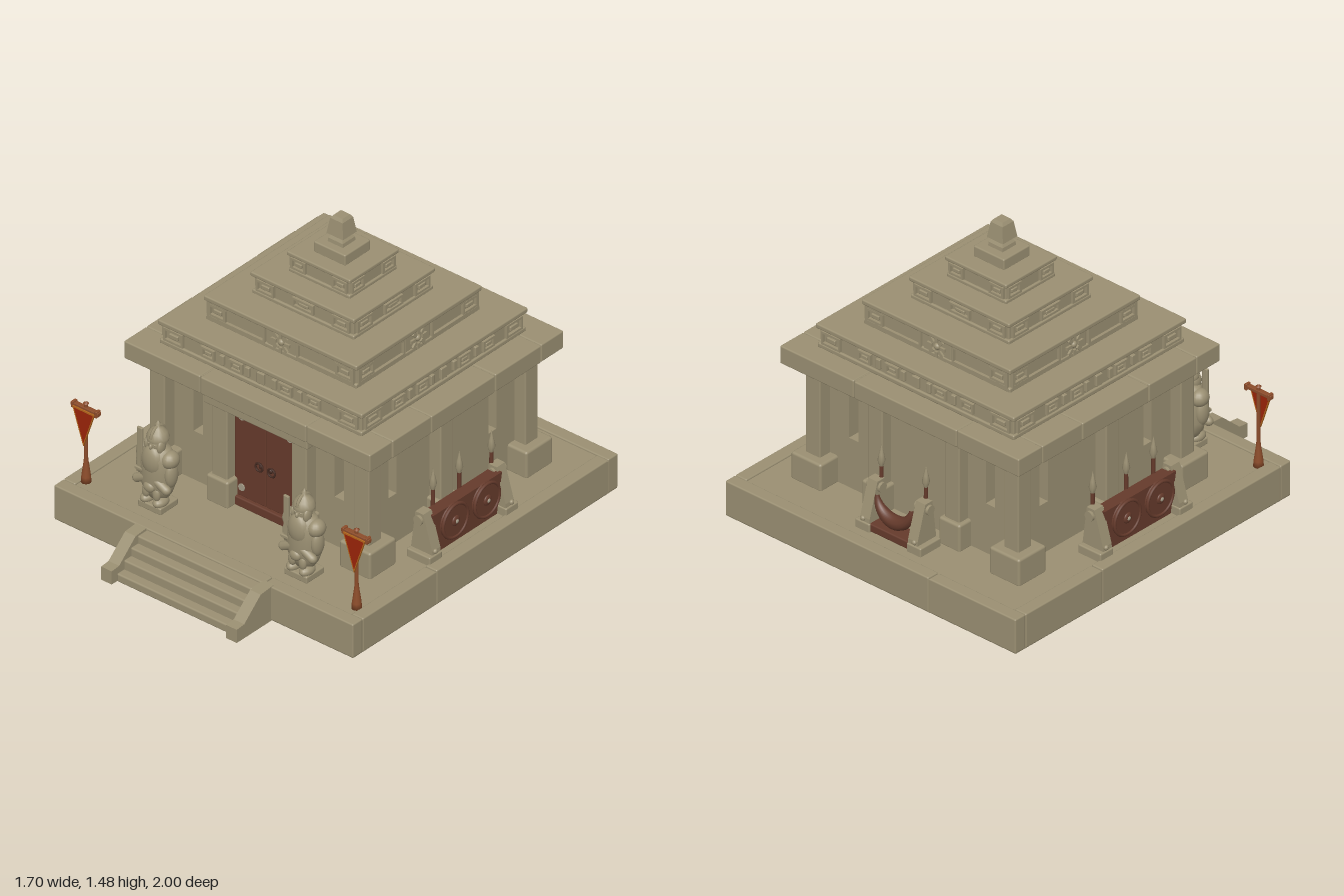
import * as THREE from 'three';
import { RoundedBoxGeometry } from 'three/addons/geometries/RoundedBoxGeometry.js';

const mat = (name, color) => {
  const m = new THREE.MeshStandardMaterial({ color });
  m.name = name;
  return m;
};
const stone = mat('stone', 0x9a8f72);
const wood = mat('dark wood', 0x653a2b);
const iron = mat('dark iron', 0x452a21);
const stud = mat('pale studs', 0xa29a86);
const pole = mat('pole wood', 0x8c4c2a);
const red = mat('banner red', 0x9a2408);
const gold = mat('banner trim', 0xb4661c);

const CZ = -0.167; // wall centre in z
const RZ = -0.16; // roof centre in z

function add(parent, name, geo, m, x = 0, y = 0, z = 0) {
  const mesh = new THREE.Mesh(geo, m);
  mesh.name = name;
  mesh.position.set(x, y, z);
  parent.add(mesh);
  return mesh;
}
function group(parent, name, x = 0, y = 0, z = 0, ry = 0) {
  const g = new THREE.Group();
  g.name = name;
  g.position.set(x, y, z);
  g.rotation.y = ry;
  parent.add(g);
  return g;
}
// Soft-edged block between two corners
function block(parent, name, m, x0, x1, y0, y1, z0, z1, r = 0.007) {
  const w = x1 - x0, h = y1 - y0, d = z1 - z0;
  const geo = new RoundedBoxGeometry(w, h, d, 2, Math.min(r, w / 3, h / 3, d / 3));
  return add(parent, name, geo, m, (x0 + x1) / 2, (y0 + y1) / 2, (z0 + z1) / 2);
}
const ball = (parent, name, m, x, y, z, sx, sy, sz) =>
  add(parent, name, new THREE.SphereGeometry(1, 16, 12), m, x, y, z).scale.set(sx, sy, sz);
const vecs = pts => pts.map(p => new THREE.Vector2(...p));
const lathe = (pts, sides) => new THREE.LatheGeometry(vecs(pts), sides);
const extrude = (pts, depth, holes = []) => {
  const s = new THREE.Shape(vecs(pts));
  for (const h of holes) s.holes.push(new THREE.Path(vecs(h)));
  return new THREE.ExtrudeGeometry(s, { depth, bevelEnabled: false });
};
const rect = (w, h, x = 0, y = 0) => [[x - w, y - h], [x + w, y - h], [x + w, y + h], [x - w, y + h]];

// Rectangular ring of stone blocks with thin joints
function ring(parent, name, hx, hz, cz, y0, y1, t, cuts) {
  const g = group(parent, name);
  const gap = 0.0015, iz = hz - t;
  for (let i = 0; i + 1 < cuts.length; i++) {
    const a = cuts[i], b = cuts[i + 1], top = y1 - (i % 2) * 0.002;
    block(g, 'frontBlock', stone, a * hx + gap, b * hx - gap, y0, top, cz + iz, cz + hz);
    block(g, 'backBlock', stone, -b * hx + gap, -a * hx - gap, y0, top, cz - hz, cz - iz);
    block(g, 'leftBlock', stone, hx - t, hx, y0, top, cz + a * iz + gap, cz + b * iz - gap);
    block(g, 'rightBlock', stone, -hx, t - hx, y0, top, cz - b * iz + gap, cz - a * iz - gap);
  }
}

// Carved frame with a raised bar inside
function glyph(parent, x, y, z, w, h, bar = true) {
  add(parent, 'carvedFrame', extrude(rect(w, h), 0.014, [rect(w - 0.011, h - 0.011)]), stone, x, y, z);
  if (bar) block(parent, 'carvedBar', stone, x - w * 0.45, x + w * 0.45, y - h * 0.35, y + h * 0.35, z - 0.004, z + 0.012, 0.004);
}

function roofTier(parent, hx, hz, y0, y1, carve) {
  const g = group(parent, 'roofTier');
  const h = y1 - y0, i = 0.016;
  block(g, 'tierBody', stone, -hx + i, hx - i, y0, y1 - 0.005, RZ - hz + i, RZ + hz - i);
  block(g, 'tierFoot', stone, -hx + 0.006, hx - 0.006, y0, y0 + h * 0.2, RZ - hz + 0.006, RZ + hz - 0.006);
  block(g, 'tierLip', stone, -hx, hx, y1 - h * 0.2, y1, RZ - hz, RZ + hz);
  for (let k = 0; k < 4; k++) {
    const side = group(g, 'tierCarving', 0, (y0 + y1) / 2, RZ, k * Math.PI / 2);
    carve(side, k % 2 ? hz : hx, (k % 2 ? hx : hz) - i);
  }
}

// Wall panel with two deep slit windows, facing local +z
function wall(parent, half, dist, ry, wx) {
  const g = group(parent, 'wall', 0, 0, CZ, ry), t = 0.08;
  const slits = [-wx, wx].map(x => rect(0.027, 0.108, x, 0.527));
  add(g, 'wallPanel', extrude(rect(half, 0.3, 0, 0.46), t, slits), stone, 0, 0, dist - t);
  for (const x of [-wx, wx])
    add(g, 'slitWindow', new THREE.BoxGeometry(0.064, 0.23, 0.006), wood, x, 0.527, dist - t - 0.003);
}

function column(parent, x, z, baseW) {
  const g = group(parent, 'column', x, 0, z);
  block(g, 'columnBase', stone, -baseW, baseW, 0.16, 0.3, -baseW, baseW, 0.012);
  block(g, 'columnShaft', stone, -0.043, 0.043, 0.28, 0.71, -0.043, 0.043);
  block(g, 'columnCapital', stone, -0.06, 0.06, 0.705, 0.755, -0.06, 0.06);
}

function spear(parent, x, z) {
  const g = group(parent, 'spear', x, 0, z);
  add(g, 'spearShaft', new THREE.CylinderGeometry(0.009, 0.012, 0.28, 8), wood, 0, 0.32, 0);
  add(g, 'spearTip', lathe([[0.009, 0], [0.018, 0.03], [0.012, 0.06], [0, 0.11]], 8), stone, 0, 0.455, 0);
}

// Weapon rack, outward side facing local +z
function rack(parent, x, z, ry, half, spears, shields) {
  const g = group(parent, 'weaponRack', x, 0, z, ry);
  const profile = [[-0.08, 0.17], [0.05, 0.17], [0.045, 0.23], [-0.005, 0.4], [-0.05, 0.4]];
  for (const s of [-1, 1]) {
    add(g, 'rackPost', extrude(profile, 0.055), stone, s * (half - 0.01) + 0.0275).rotation.y = -Math.PI / 2;
    block(g, 'rackFoot', stone, s * half - 0.042, s * half + 0.042, 0.16, 0.21, -0.08, 0.053);
    const pin = add(g, 'rackPin', new THREE.CylinderGeometry(0.024, 0.024, 0.08, 14), stone, s * (half - 0.01), 0.365, -0.028);
    pin.rotation.z = Math.PI / 2;
    ball(g, 'rackStud', stone, s * half, 0.225, 0.048, 0.012, 0.012, 0.01);
  }
  const w = half - 0.025;
  if (shields) {
    add(g, 'rackBoard', extrude([[-w + 0.035, 0.18], [w - 0.035, 0.18], [w, 0.38], [-w, 0.38]], 0.06), wood, 0, 0, -0.045);
    for (const sx of [-0.1, 0.112]) {
      const sh = group(g, 'roundShield', sx, 0.3, 0.022);
      add(sh, 'shieldDisc', new THREE.CylinderGeometry(0.082, 0.085, 0.02, 28), wood).rotation.x = Math.PI / 2;
      add(sh, 'shieldRim', new THREE.TorusGeometry(0.082, 0.008, 8, 32), wood, 0, 0, 0.008);
      ball(sh, 'shieldBoss', wood, 0, 0, 0.01, 0.026, 0.026, 0.01);
      ball(sh, 'shieldStud', stud, 0, 0, 0.016, 0.011, 0.011, 0.008);
    }
  } else {
    block(g, 'rackTray', wood, -w, w, 0.17, 0.21, -0.045, 0.045);
    // Curved horn, thinning towards both ends
    const R = 0.1, geo = new THREE.TorusGeometry(R, 0.034, 10, 24, Math.PI), p = geo.attributes.position;
    for (let i = 0; i < p.count; i++) {
      const a = Math.atan2(p.getY(i), p.getX(i)), k = 0.25 + 0.75 * Math.max(0, Math.sin(a));
      const cx = R * Math.cos(a), cy = R * Math.sin(a);
      p.setXYZ(i, cx + (p.getX(i) - cx) * k, cy + (p.getY(i) - cy) * k, p.getZ(i) * k);
    }
    geo.computeVertexNormals();
    add(g, 'hangingHorn', geo, wood, 0, 0.35, 0.01).rotation.z = Math.PI;
  }
  for (const sx of spears) spear(g, sx, -0.05);
}

function guard(parent, x, z) {
  const g = group(parent, 'guardStatue', x, 0, z);
  block(g, 'pedestal', stone, -0.065, 0.065, 0.165, 0.2, -0.06, 0.06);
  const robe = [[0, 0.215], [0.05, 0.22], [0.075, 0.26], [0.092, 0.31], [0.086, 0.37], [0.088, 0.43], [0.06, 0.475], [0, 0.49]];
  add(g, 'robe', lathe(robe, 18), stone).scale.z = 0.74;
  for (const s of [-1, 1]) {
    ball(g, 'boot', stone, s * 0.036, 0.21, 0.022, 0.03, 0.026, 0.045);
    ball(g, 'shoulder', stone, s * 0.07, 0.43, 0, 0.04, 0.042, 0.046);
    ball(g, 'upperArm', stone, s * 0.08, 0.36, 0.005, 0.026, 0.065, 0.036);
    add(g, 'forearm', new THREE.CapsuleGeometry(0.022, 0.06, 4, 10), stone, s * 0.056, 0.31, 0.042).rotation.z = s * 1.1;
    ball(g, 'beltTassel', stone, s * 0.03, 0.255, 0.045, 0.02, 0.035, 0.016);
    ball(g, 'cheekGuard', stone, s * 0.036, 0.49, 0.02, 0.014, 0.035, 0.026);
    ball(g, 'eyeSocket', stone, s * 0.015, 0.503, 0.043, 0.008, 0.004, 0.004);
  }
  ball(g, 'hands', stone, 0, 0.29, 0.06, 0.03, 0.026, 0.018);
  ball(g, 'beard', stone, 0, 0.415, 0.035, 0.058, 0.075, 0.036);
  ball(g, 'head', stone, 0, 0.495, 0.006, 0.042, 0.045, 0.042);
  ball(g, 'nose', stone, 0, 0.49, 0.048, 0.008, 0.014, 0.01);
  add(g, 'helmet', lathe([[0.05, 0.51], [0.052, 0.525], [0.042, 0.55], [0.022, 0.57], [0.01, 0.578], [0.012, 0.59], [0, 0.605]], 16), stone);
  add(g, 'helmetCrest', new THREE.TorusGeometry(0.045, 0.008, 6, 14, Math.PI), stone, 0, 0.53, 0).rotation.y = Math.PI / 2;
  // Upright sword on the shoulder
  block(g, 'swordBlade', stone, -0.082, -0.052, 0.35, 0.56, 0.032, 0.046, 0.004);
  block(g, 'swordGuard', stone, -0.09, -0.038, 0.344, 0.36, 0.026, 0.054, 0.004);
}

function banner(parent, x, z) {
  const g = group(parent, 'banner', x, 0, z);
  const p = [[0, 0.17], [0.024, 0.17], [0.022, 0.2], [0.012, 0.27], [0.009, 0.3], [0.009, 0.57], [0.014, 0.575], [0, 0.585]];
  add(g, 'bannerPole', lathe(p, 10), pole);
  block(g, 'crossbar', pole, -0.078, 0.078, 0.541, 0.558, -0.01, 0.014, 0.003);
  for (const s of [-1, 1]) block(g, 'crossbarEnd', pole, s * 0.066 - 0.007, s * 0.066 + 0.007, 0.533, 0.564, -0.013, 0.017, 0.003);
  const tri = k => [[-0.062 * k, 0.07 * k], [0, -0.115 * k], [0.062 * k, 0.07 * k]];
  add(g, 'bannerCloth', extrude(tri(0.93), 0.006), red, 0, 0.477, 0.012);
  add(g, 'bannerTrim', extrude(tri(1), 0.009, [tri(0.89)]), gold, 0, 0.477, 0.0105);
}

export function createModel() {
  const root = new THREE.Group();
  root.name = 'temple';

  // Plinth with raised rim
  block(root, 'plinthCore', stone, -0.847, 0.847, 0, 0.168, -0.997, 0.767, 0.003);
  ring(root, 'plinthRim', 0.85, 0.885, -0.115, 0.002, 0.177, 0.065, [-1, 0.4, 1]);

  // Stairs
  const stairs = group(root, 'stairs');
  [0.042, 0.088, 0.13, 0.168].forEach((h, i) =>
    block(stairs, 'step', stone, -0.325, 0.325, 0, h, 0.75, 0.968 - i * 0.046, 0.008));
  const cheek = [[0.75, 0], [1, 0], [1, 0.068], [0.95, 0.072], [0.84, 0.17], [0.75, 0.177]];
  for (const x of [-0.385, 0.325])
    add(stairs, 'stairCheek', extrude(cheek.map(([z, y]) => [-z, y]), 0.06), stone, x).rotation.y = Math.PI / 2;

  // Walls and columns
  for (let k = 0; k < 4; k++)
    wall(root, k % 2 ? 0.5 : 0.56, k % 2 ? 0.56 : 0.5, k * Math.PI / 2, k % 2 ? 0.333 : 0.4);
  for (const s of [-1, 1]) {
    for (const z of [0.355, -0.69]) {
      column(root, s * 0.58, z, 0.088);
      column(root, s * 0.225, z + (z > 0 ? 0 : 0.01), 0.062);
    }
    column(root, s * 0.58, -0.125, 0.062);
  }

  // Double door
  const door = group(root, 'door', 0, 0, CZ + 0.5);
  block(door, 'lintel', stone, -0.295, 0.295, 0.67, 0.757, -0.02, 0.092);
  block(door, 'threshold', wood, -0.18, 0.18, 0.165, 0.212, 0, 0.035);
  for (const s of [-1, 1]) {
    block(door, 'doorLeaf', wood, s * 0.09 - 0.088, s * 0.09 + 0.088, 0.212, 0.672, -0.01, 0.018, 0.004);
    add(door, 'doorRing', new THREE.TorusGeometry(0.02, 0.005, 6, 18), iron, s * 0.035, 0.408, 0.024);
    ball(door, 'ringMount', iron, s * 0.028, 0.412, 0.02, 0.01, 0.012, 0.008);
    for (const y of [0.26, 0.625])
      add(door, 'doorStud', new THREE.CylinderGeometry(0.018, 0.018, 0.008, 8), stud, s * 0.137, y, 0.02).rotation.x = Math.PI / 2;
  }

  // Cornice and stepped roof
  block(root, 'corniceCore', stone, -0.69, 0.69, 0.752, 0.838, CZ - 0.637, CZ + 0.637);
  ring(root, 'cornice', 0.7, 0.647, CZ, 0.752, 0.842, 0.15, [-1, -0.38, 0.48, 1]);
  roofTier(root, 0.58, 0.555, 0.838, 0.96, (g, w, d) => {
    for (const s of [-1, 1]) {
      glyph(g, s * (w - 0.085), 0, d, 0.055, 0.033);
      for (const x of [0.14, 0.3]) glyph(g, s * x, 0, d, 0.038, 0.026);
      for (const x of [0.075, 0.22]) block(g, 'carvedPeg', stone, s * x - 0.012, s * x + 0.012, -0.025, 0.025, d - 0.004, d + 0.014, 0.004);
    }
    block(g, 'carvedPeg', stone, -0.02, 0.02, -0.028, 0.028, d - 0.004, d + 0.014, 0.004);
  });
  roofTier(root, 0.435, 0.42, 0.955, 1.08, (g, w, d) => {
    for (const s of [-1, 1]) {
      glyph(g, s * (w - 0.075), 0, d, 0.048, 0.03);
      glyph(g, s * (w / 2 + 0.035), 0, d, w / 2 - 0.055, 0.042, false);
    }
    // Sun flower carving
    block(g, 'sunPanel', stone, -0.08, 0.08, -0.055, 0.055, d - 0.004, d + 0.006, 0.003);
    ball(g, 'sunHeart', stone, 0, 0, d + 0.006, 0.016, 0.016, 0.014);
    for (let i = 0; i < 8; i++) {
      const a = i * Math.PI / 4;
      const ray = add(g, 'sunRay', new THREE.BoxGeometry(0.028, 0.016, 0.016), stone, Math.cos(a) * 0.038, Math.sin(a) * 0.038, d + 0.008);
      ray.rotation.z = a;
    }
  });
  roofTier(root, 0.295, 0.272, 1.075, 1.188, (g, w, d) => {
    for (const s of [-1, 1]) glyph(g, s * (w - 0.08), 0, d, 0.05, 0.03);
    glyph(g, 0, 0, d, 0.06, 0.024);
  });
  roofTier(root, 0.18, 0.165, 1.183, 1.29, (g, w, d) => {
    for (const s of [-1, 1]) glyph(g, s * (w - 0.062), 0, d, 0.042, 0.028);
  });
  block(root, 'roofCap', stone, -0.09, 0.09, 1.285, 1.342, RZ - 0.08, RZ + 0.09);

  // Square finial
  const fin = [[0, 1.335], [0.062, 1.335], [0.058, 1.36], [0.044, 1.375], [0.066, 1.385], [0.05, 1.462], [0.036, 1.476], [0, 1.476]];
  const finGeo = lathe(fin, 4).toNonIndexed();
  finGeo.computeVertexNormals();
  add(root, 'finial', finGeo, stone, 0, 0, RZ + 0.007).rotation.y = Math.PI / 4;

  // Racks, statues and banners
  rack(root, 0.745, -0.1, Math.PI / 2, 0.255, [-0.155, 0.02, 0.235], true);
  rack(root, -0.745, -0.1, -Math.PI / 2, 0.255, [0.155, -0.02, -0.235], true);
  rack(root, 0, -0.835, Math.PI, 0.15, [-0.13, 0.13], false);
  for (const s of [-1, 1]) {
    guard(root, s * 0.415, 0.585);
    banner(root, s * 0.768, 0.65);
  }
  return root;
}
